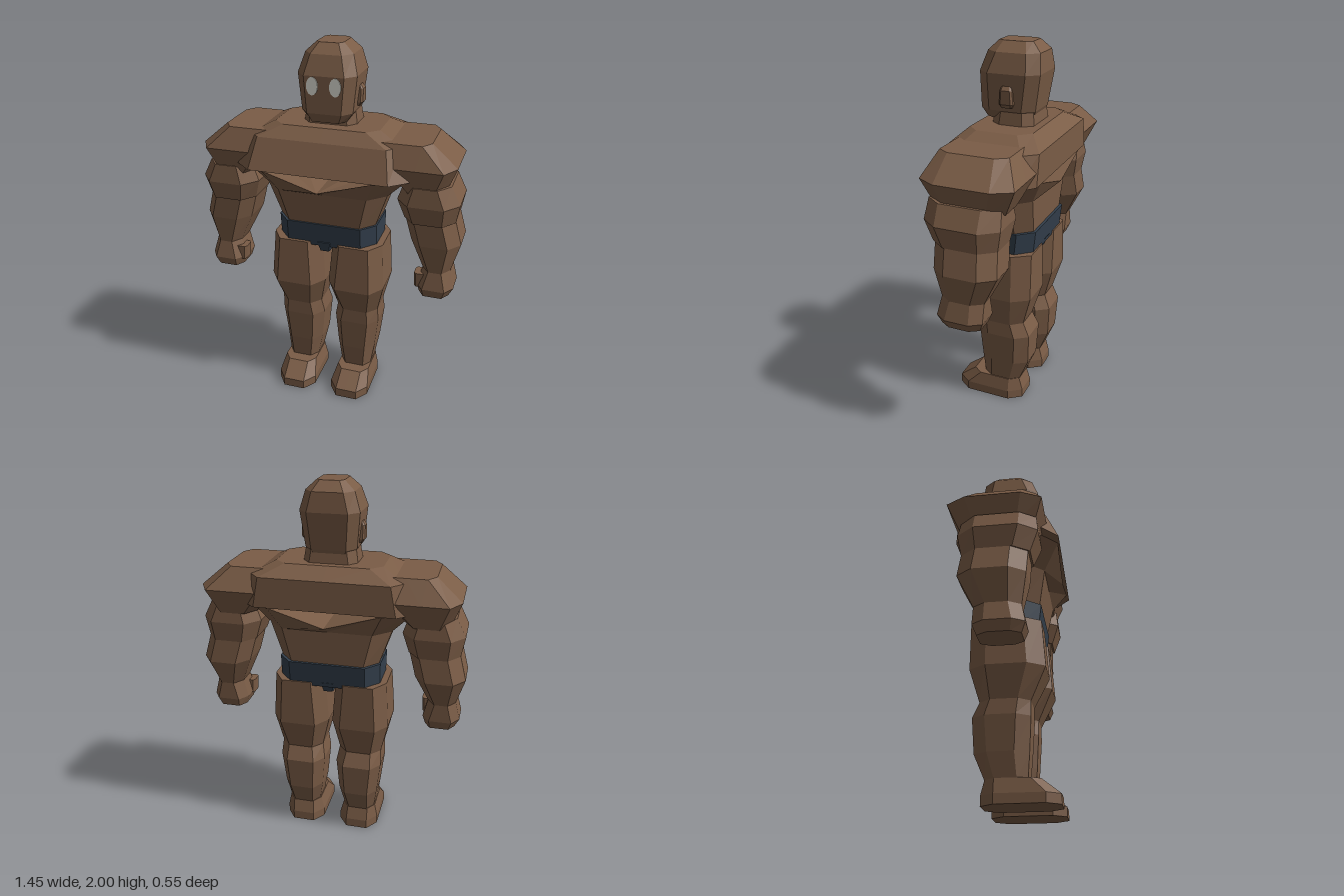
import * as THREE from 'three';

const brown = new THREE.MeshStandardMaterial({ color: 0x7a5c46 });
brown.name = 'brown skin';
const blue = new THREE.MeshStandardMaterial({ color: 0x333f4c });
blue.name = 'dark blue cloth';
const pale = new THREE.MeshStandardMaterial({ color: 0xdcdcd2 });
pale.name = 'pale eye';

// One bevelled cross-section: [y, x0, x1, zBack, zFront, bevelX, bevelZ, dip of the middle]
function ring([y, x0, x1, zb, zf, bx, bz, dip = 0]) {
  const m = (x0 + x1) / 2;
  return [
    [m, y - dip, zf], [x1 - bx, y, zf], [x1, y, zf - bz], [x1, y, zb + bz], [x1 - bx, y, zb],
    [m, y - dip, zb], [x0 + bx, y, zb], [x0, y, zb + bz], [x0, y, zf - bz], [x0 + bx, y, zf],
  ];
}

// Faceted solid through cross-sections listed from bottom to top, capped at both ends
function loft(name, sections, material = brown) {
  const rings = sections.map(ring);
  const pos = [];
  const tri = (a, b, c) => pos.push(...a, ...b, ...c);
  const n = 10;
  for (let i = 0; i < rings.length - 1; i++) {
    for (let j = 0; j < n; j++) {
      const k = (j + 1) % n;
      const lo = rings[i], hi = rings[i + 1];
      tri(lo[j], lo[k], hi[k]);
      tri(lo[j], hi[k], hi[j]);
    }
  }
  const first = rings[0], last = rings[rings.length - 1];
  for (let j = 1; j < n - 1; j++) {
    tri(first[0], first[j + 1], first[j]);
    tri(last[0], last[j], last[j + 1]);
  }
  const g = new THREE.BufferGeometry();
  g.setAttribute('position', new THREE.Float32BufferAttribute(pos, 3));
  g.computeVertexNormals();
  const mesh = new THREE.Mesh(g, material);
  mesh.name = name;
  return mesh;
}

// Limb sections are written for the +x side and mirrored for the other
const mirror = (s) => s.map(([y, x0, x1, ...rest]) => [y, -x1, -x0, ...rest]);
// Sections centred on x = 0, given by half-width
const centred = (s) => s.map(([y, w, ...rest]) => [y, -w, w, ...rest]);

const limbs = {
  Thigh: [
    [0.51, 0.05, 0.285, -0.15, 0.11, 0.05, 0.06],
    [0.68, 0.01, 0.325, -0.20, 0.19, 0.06, 0.09],
    [0.94, 0.03, 0.31, -0.20, 0.17, 0.06, 0.09],
  ],
  Shin: [
    [0.12, 0.075, 0.25, -0.12, 0.09, 0.035, 0.05],
    [0.25, 0.05, 0.27, -0.175, 0.10, 0.045, 0.07],
    [0.43, 0.035, 0.29, -0.185, 0.11, 0.05, 0.07],
    [0.51, 0.05, 0.285, -0.15, 0.11, 0.05, 0.06],
  ],
  Foot: [
    [0, 0.05, 0.27, -0.14, 0.25, 0.05, 0.07],
    [0.05, 0.05, 0.27, -0.14, 0.25, 0.05, 0.07],
    [0.125, 0.07, 0.255, -0.12, 0.155, 0.035, 0.05],
  ],
  Shoulder: [
    [1.30, 0.40, 0.63, -0.20, 0.17, 0.05, 0.08],
    [1.44, 0.29, 0.685, -0.265, 0.22, 0.055, 0.10],
    [1.555, 0.25, 0.55, -0.19, 0.17, 0.04, 0.06],
  ],
  UpperArm: [
    [1.13, 0.42, 0.69, -0.18, 0.16, 0.06, 0.08],
    [1.24, 0.385, 0.71, -0.20, 0.20, 0.07, 0.09],
    [1.34, 0.42, 0.66, -0.19, 0.19, 0.06, 0.08],
  ],
  Forearm: [
    [0.84, 0.53, 0.68, -0.11, 0.12, 0.04, 0.06],
    [1.0, 0.46, 0.725, -0.19, 0.145, 0.06, 0.08],
    [1.13, 0.425, 0.69, -0.18, 0.15, 0.06, 0.08],
  ],
  Hand: [
    [0.69, 0.52, 0.68, -0.09, 0.12, 0.03, 0.05],
    [0.74, 0.505, 0.705, -0.11, 0.14, 0.04, 0.06],
    [0.84, 0.53, 0.68, -0.11, 0.12, 0.04, 0.06],
  ],
  Thumb: [
    [0.73, 0.495, 0.55, 0.02, 0.10, 0.01, 0.015],
    [0.81, 0.49, 0.56, 0.02, 0.10, 0.01, 0.015],
  ],
  Ear: [
    [1.68, 0.12, 0.15, -0.045, 0.01, 0.005, 0.008],
    [1.70, 0.12, 0.165, -0.055, 0.02, 0.01, 0.01],
    [1.77, 0.12, 0.165, -0.05, 0.015, 0.01, 0.01],
    [1.79, 0.12, 0.15, -0.04, 0.01, 0.005, 0.008],
  ],
};

export function createModel() {
  const model = new THREE.Group();
  model.name = 'figure';

  // Limbs and ears on both sides
  for (const [name, sections] of Object.entries(limbs)) {
    model.add(loft('left' + name, sections), loft('right' + name, mirror(sections)));
  }

  // Torso flares up to a shallow valley, leaving a gap beneath the chest
  model.add(loft('torso', centred([
    [1.05, 0.265, -0.19, 0.155, 0.07, 0.08],
    [1.24, 0.33, -0.20, 0.19, 0.09, 0.09],
    [1.37, 0.46, -0.265, 0.27, 0.16, 0.14, 0.09],
  ])));
  model.add(loft('chest', centred([
    [1.37, 0.46, -0.27, 0.28, 0.09, 0.08],
    [1.53, 0.40, -0.27, 0.21, 0.06, 0.07],
    [1.59, 0.28, -0.19, 0.15, 0.06, 0.06],
  ])));

  // Shorts
  model.add(loft('waistband', centred([
    [0.92, 0.275, -0.19, 0.15, 0.07, 0.08],
    [1.055, 0.275, -0.205, 0.165, 0.07, 0.08],
  ]), blue));
  model.add(loft('crotch', centred([
    [0.885, 0.028, -0.17, 0.14, 0.005, 0.02],
    [0.945, 0.04, -0.195, 0.16, 0.005, 0.02],
  ]), blue));

  // Neck and head
  model.add(loft('neck', centred([
    [1.57, 0.145, -0.15, 0.08, 0.04, 0.05],
    [1.67, 0.13, -0.14, 0.07, 0.04, 0.05],
  ])));
  model.add(loft('head', centred([
    [1.61, 0.10, -0.13, 0.12, 0.03, 0.05],
    [1.66, 0.135, -0.15, 0.145, 0.045, 0.06],
    [1.85, 0.155, -0.18, 0.145, 0.05, 0.06],
    [1.95, 0.125, -0.17, 0.11, 0.045, 0.06],
    [2.0, 0.07, -0.12, 0.06, 0.02, 0.03],
  ])));

  // Oval eyes
  for (const side of [-1, 1]) {
    const eye = new THREE.Mesh(new THREE.CylinderGeometry(1, 1, 0.008, 20).rotateX(Math.PI / 2), pale);
    eye.name = side > 0 ? 'leftEye' : 'rightEye';
    eye.scale.set(0.03, 0.046, 1);
    eye.position.set(side * 0.06, 1.8, 0.146);
    model.add(eye);
  }
  return model;
}
